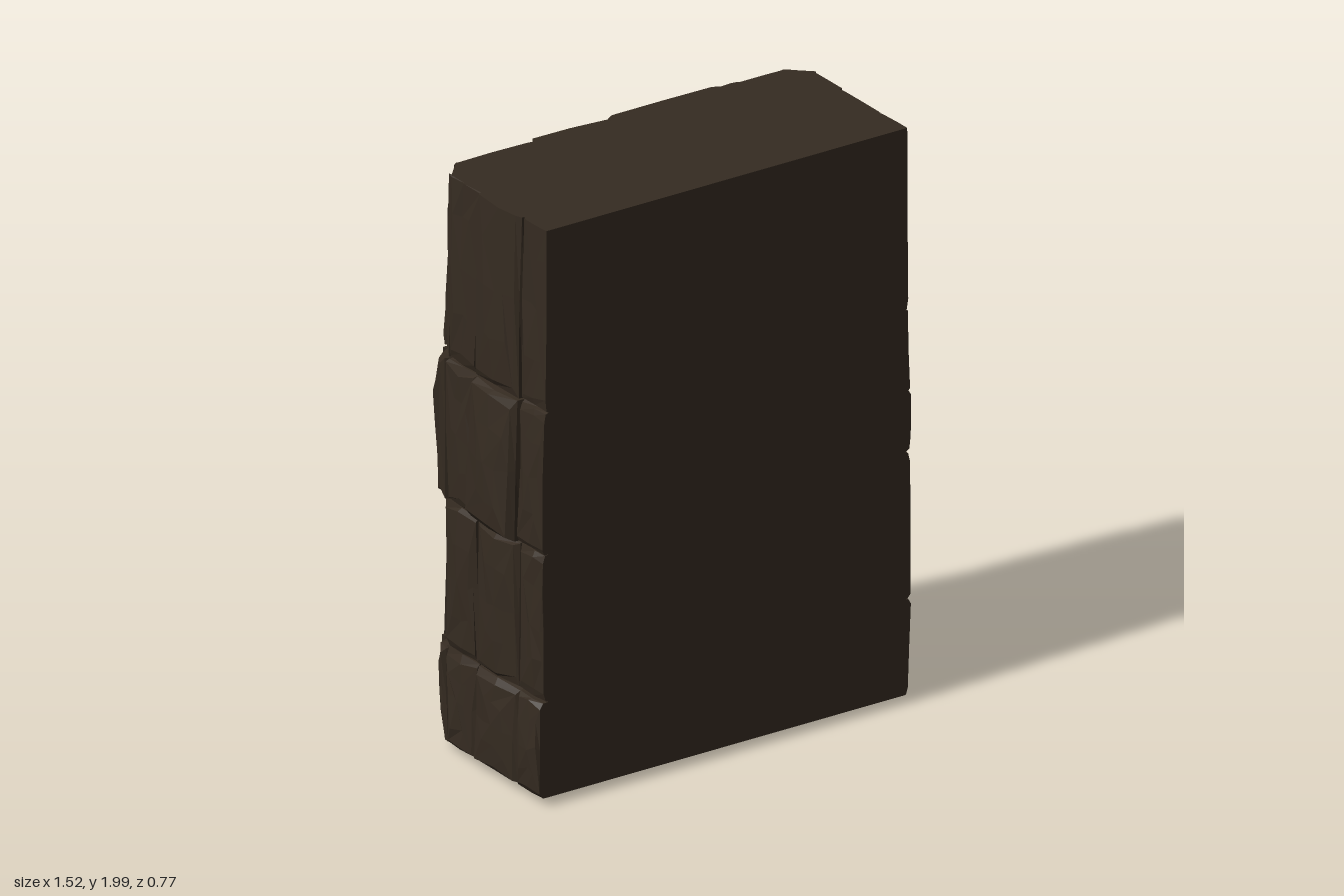
import * as THREE from 'three';

const rock = new THREE.MeshStandardMaterial({ color: 0x352b21, flatShading: true });
rock.name = 'dark brown rock';

// Planes on which the stones sit; the two back corners are cut off by CUT
const SIDE = 0.685, BACK = 0.2, FRONT = 0.38, TOP = 2, BOTTOM = 0.04, CUT = 0.06;

// Repeatable small variation
let seed = 11;
const rnd = (a) => {
  seed = (seed * 16807) % 2147483647;
  return (seed / 2147483647 * 2 - 1) * a;
};
const { lerp: mix, clamp } = THREE.MathUtils;

// One faceted stone: an eight-point outline repeated in rings that step outwards (+z) to a broad face.
// left/right are [bottom, top] u positions; depth is [bottom, top] distance outwards, then any sag below y0.
function stone(name, left, right, y0, y1, [d0, d1, sag = 0], face) {
  const outline = [[0, 0], [0.5, 0], [1, 0], [1, 0.5], [1, 1], [0.5, 1], [0, 1], [0, 0.5]];
  const at = (s, t, k, jitter) => {
    const range = k === 0 ? face.inner : face.outer;
    const rise = (mix(d0, d1, t) - face.core) * (1 - 0.28 * (2 * s - 1) ** 4);
    const u = mix(mix(left[0], left[1], t), mix(right[0], right[1], t), s) + rnd(jitter);
    const v = mix(y0, y1, t) + rnd(jitter);
    return [
      clamp(u, ...range),
      clamp(v, y0, TOP) - sag * k * (1 - t),
      face.core + rise * k + rnd(jitter * 0.3),
    ];
  };
  // [inset, share of depth, jitter]
  const levels = [[0, 0, 0], [0.006, 0.6, 0.004], [0.05, 0.92, 0.012], [0.25, 1, 0.018]];
  const rings = levels.map(([inset, k, jitter]) => outline.map(([s, t]) =>
    at(mix(inset, 1 - inset, s), mix(inset, 1 - inset, t), k, jitter)));
  const centre = at(0.5, 0.5, 1.1, 0.012);
  const pos = [];
  for (let i = 0; i < 8; i++) {
    const j = (i + 1) % 8;
    for (let r = 0; r < 3; r++) {
      const a = rings[r][i], b = rings[r][j], c = rings[r + 1][j], d = rings[r + 1][i];
      pos.push(...a, ...b, ...c, ...a, ...c, ...d);
    }
    pos.push(...rings[3][i], ...rings[3][j], ...centre);
  }
  const geo = new THREE.BufferGeometry();
  geo.setAttribute('position', new THREE.Float32BufferAttribute(pos, 3));
  geo.computeVertexNormals();
  const mesh = new THREE.Mesh(geo, rock);
  mesh.name = name;
  return mesh;
}

// A face of the wall: rows of stones split by slanted cuts
function stoneFace(name, angle, face, rows) {
  const group = new THREE.Group();
  group.name = name;
  rows.forEach(({ y, cuts, depths }) => depths.forEach((d, i) => {
    group.add(stone(name + 'Stone', cuts[i], cuts[i + 1], y[0], y[1], d, face));
  }));
  group.rotation.y = angle;
  return group;
}

// Flat panels that close the front, top and underside
function panel(name, geo, rotX, y, z) {
  geo.rotateX(rotX);
  geo.translate(0, y, z);
  const mesh = new THREE.Mesh(geo, rock);
  mesh.name = name;
  return mesh;
}

// Plan of the wall; sign is +1 or -1 for the direction of the back
function plan(sign) {
  const pts = [[-SIDE, -FRONT], [SIDE, -FRONT], [SIDE, BACK - CUT], [SIDE - CUT, BACK], [CUT - SIDE, BACK], [-SIDE, BACK - CUT]];
  return new THREE.ShapeGeometry(new THREE.Shape(pts.map(([x, b]) => new THREE.Vector2(x, b * sign))));
}

export function createModel() {
  const wall = new THREE.Group();
  wall.name = 'rockWall';
  wall.add(panel('flatFront', new THREE.PlaneGeometry(SIDE * 2, TOP - BOTTOM), 0, (TOP + BOTTOM) / 2, FRONT));
  wall.add(panel('flatTop', plan(1), -Math.PI / 2, TOP, 0));
  wall.add(panel('underside', plan(-1), Math.PI / 2, BOTTOM, 0));

  // Stones in the top row and front columns run past the flat panels and are trimmed flush
  const r1 = [BOTTOM, 0.37], r2 = [0.37, 0.88], r3 = [0.88, 1.37], r4 = [1.37, 2.04];
  const edge = SIDE - CUT;

  // Rough back, with one large projecting stone
  const back = { core: BACK, inner: [-edge, edge], outer: [-0.655, 0.665] };
  wall.add(stoneFace('back', Math.PI, back, [
    { y: r4, cuts: [[-0.65, -0.64], [-0.3, -0.47], [-0.12, -0.4], [0.06, 0.04], [0.34, 0.33], [0.66, 0.64]],
      depths: [[0.26, 0.21], [0.28, 0.22], [0.285, 0.24], [0.335, 0.23], [0.28, 0.21]] },
    { y: r3, cuts: [[-0.66, -0.65], [-0.42, -0.45], [-0.02, -0.37], [0.1, 0.08], [0.49, 0.47], [0.67, 0.67]],
      depths: [[0.25, 0.25], [0.27, 0.28], [0.27, 0.27], [0.37, 0.375], [0.27, 0.27]] },
    { y: r2, cuts: [[-0.66, -0.66], [-0.38, -0.4], [0.16, 0.14], [0.5, 0.2], [0.66, 0.66]],
      depths: [[0.26, 0.24], [0.28, 0.255], [0.275, 0.255], [0.265, 0.25]] },
    { y: r1, cuts: [[-0.65, -0.65], [-0.42, -0.42], [0, 0.02], [0.4, 0.38], [0.66, 0.66]],
      depths: [[0.24, 0.26, 0.015], [0.25, 0.29, 0.04], [0.25, 0.285, 0.01], [0.26, 0.275, 0.015]] },
  ]));

  // Stones on the cut back corners
  const cornerCore = (SIDE + BACK - CUT) / Math.SQRT2;
  const near = (edge - BACK) / Math.SQRT2, far = (SIDE - BACK + CUT) / Math.SQRT2;
  const corner = (name, side, depths) => {
    const u = side > 0 ? [-far, -near] : [near, far];
    const face = { core: cornerCore, inner: u, outer: [u[0] - 0.02, u[1] + 0.02] };
    const cuts = [[u[0] - 0.01, u[0] - 0.01], [u[1] + 0.01, u[1] + 0.01]];
    wall.add(stoneFace(name, side * Math.PI * 0.75, face,
      [r1, r2, r3, r4].map((y, i) => ({ y, cuts, depths: [depths[i]] }))));
  };
  corner('leftBackCorner', 1, [[0.605, 0.615], [0.66, 0.67], [0.625, 0.62], [0.62, 0.6]]);
  corner('rightBackCorner', -1, [[0.625, 0.64], [0.605, 0.61], [0.645, 0.65], [0.62, 0.595]]);

  // Left side (+x): columns run from the front to the back
  const left = { core: SIDE, inner: [-FRONT, BACK - CUT], outer: [-FRONT, 0.17] };
  const leftCuts = [[-0.4, -0.4], [-0.26, -0.25], [-0.03, 0], [0.16, 0.15]];
  const slanted = [[-0.4, -0.4], [-0.25, -0.24], [0.01, -0.02], [0.16, 0.15]];
  wall.add(stoneFace('leftSide', Math.PI / 2, left, [
    { y: r4, cuts: slanted, depths: [[0.7, 0.695], [0.71, 0.695], [0.705, 0.7]] },
    { y: [1.09, 1.37], cuts: slanted, depths: [[0.71, 0.7], [0.765, 0.735], [0.725, 0.71]] },
    { y: [0.88, 1.09], cuts: leftCuts, depths: [[0.71, 0.71], [0.73, 0.76], [0.715, 0.725]] },
    { y: r2, cuts: leftCuts, depths: [[0.71, 0.71], [0.72, 0.725], [0.725, 0.745]] },
    { y: r1, cuts: leftCuts, depths: [[0.695, 0.715], [0.7, 0.715], [0.695, 0.71]] },
  ]));

  // Right side (-x): columns run from the back to the front
  const right = { core: SIDE, inner: [CUT - BACK, FRONT], outer: [-0.17, FRONT] };
  const rightCuts = [[-0.15, -0.16], [0, 0.02], [0.24, 0.25], [0.4, 0.4]];
  wall.add(stoneFace('rightSide', -Math.PI / 2, right, [
    { y: r4, cuts: rightCuts, depths: [[0.71, 0.7], [0.725, 0.715], [0.7, 0.695]] },
    { y: r3, cuts: rightCuts, depths: [[0.72, 0.715], [0.765, 0.745], [0.72, 0.71]] },
    { y: r2, cuts: rightCuts, depths: [[0.71, 0.72], [0.715, 0.725], [0.71, 0.715]] },
    { y: r1, cuts: rightCuts, depths: [[0.72, 0.715], [0.73, 0.725], [0.73, 0.73]] },
  ]));

  return wall;
}
